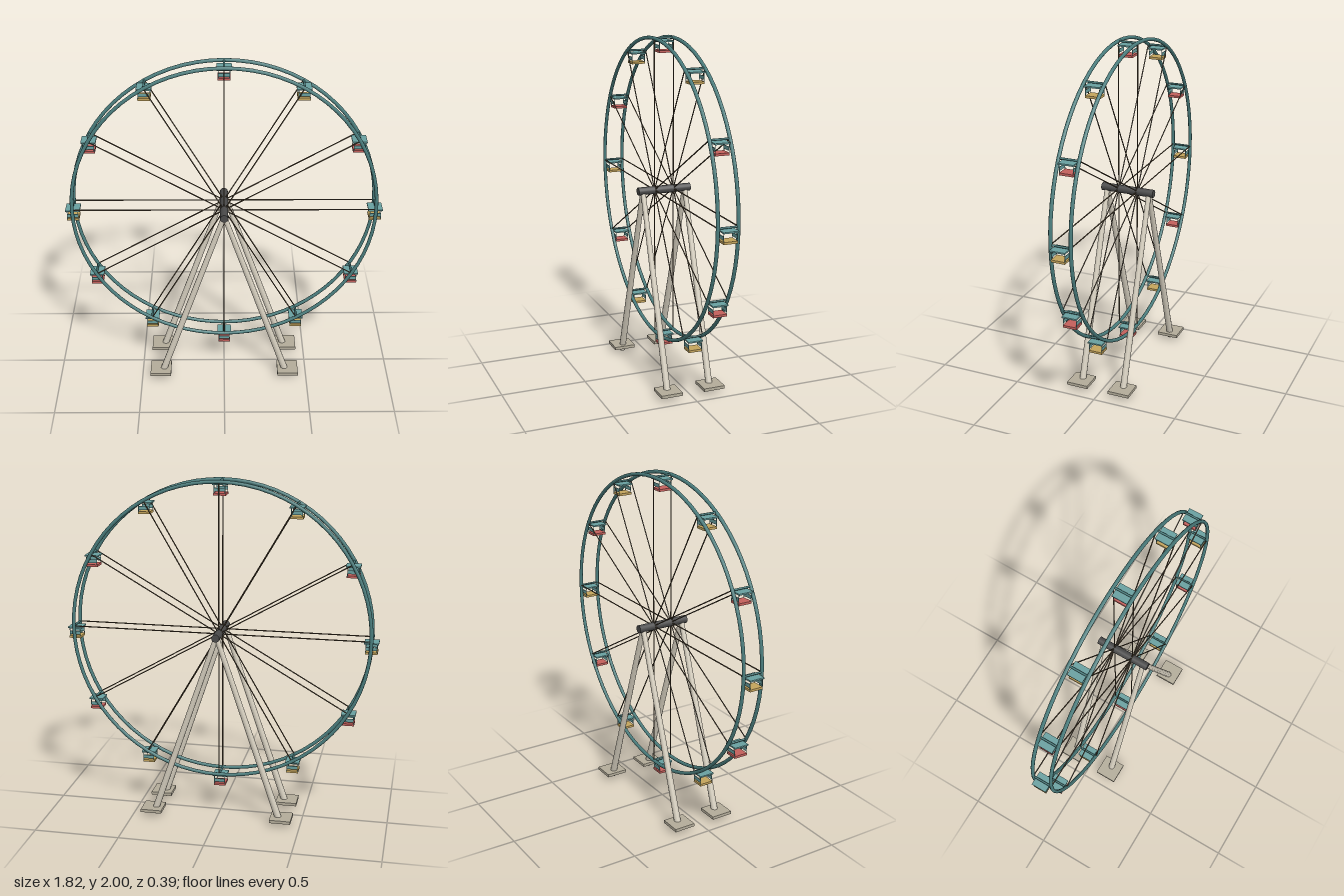
import * as THREE from 'three';

const HUB_Y = 1.12, RIM_R = 0.869, RIM_Z = 0.058, LEG_Z = 0.13, COUNT = 12;

const mat = (color) => new THREE.MeshStandardMaterial({ color });
const teal = mat(0x4a7d7d), paleTeal = mat(0x69a0a0), spokeBrown = mat(0x5a4c38);
const steel = mat(0x4a4a4a), cream = mat(0xd6cfbf), stone = mat(0xb3ac9a);
const red = mat(0xc4605c), tan = mat(0xc4a45c);

function add(parent, name, geometry, material, x = 0, y = 0, z = 0) {
  const mesh = new THREE.Mesh(geometry, material);
  mesh.name = name;
  mesh.position.set(x, y, z);
  parent.add(mesh);
  return mesh;
}

// Straight round bar between two points
function bar(parent, name, a, b, r0, r1, material, sides = 8) {
  const dir = b.clone().sub(a);
  const geo = new THREE.CylinderGeometry(r1, r0, dir.length(), sides);
  const mesh = add(parent, name, geo, material);
  mesh.position.copy(a).add(b).multiplyScalar(0.5);
  mesh.quaternion.setFromUnitVectors(new THREE.Vector3(0, 1, 0), dir.normalize());
  return mesh;
}

const v = (x, y, z) => new THREE.Vector3(x, y, z);

// Hanging cabin, origin at its pivot bar
function createCabin(floorMaterial) {
  const cabin = new THREE.Group();
  cabin.name = 'cabin';
  bar(cabin, 'pivotBar', v(0, 0, -RIM_Z), v(0, 0, RIM_Z), 0.006, 0.006, teal);
  add(cabin, 'roof', new THREE.BoxGeometry(0.083, 0.008, 0.088), paleTeal, 0, -0.016, 0);
  add(cabin, 'floor', new THREE.BoxGeometry(0.07, 0.013, 0.08), floorMaterial, 0, -0.0725, 0);
  for (const z of [-0.039, 0.039]) {
    add(cabin, 'sidePanel', new THREE.BoxGeometry(0.062, 0.02, 0.004), paleTeal, 0, -0.046, z);
    for (const x of [-0.031, 0.031])
      add(cabin, 'post', new THREE.CylinderGeometry(0.002, 0.002, 0.052, 6), paleTeal, x, -0.043, z);
  }
  return cabin;
}

export function createModel() {
  const model = new THREE.Group();
  model.name = 'ferrisWheel';

  // Wheel: two rims with spokes
  const wheel = new THREE.Group();
  wheel.name = 'wheel';
  wheel.position.y = HUB_Y;
  model.add(wheel);
  for (const z of [-RIM_Z, RIM_Z]) {
    add(wheel, 'rim', new THREE.TorusGeometry(RIM_R, 0.0105, 10, 72), teal, 0, 0, z);
    for (let i = 0; i < COUNT; i++) {
      const a = (i / COUNT) * Math.PI * 2;
      bar(wheel, 'spoke', v(0, 0, z), v(Math.cos(a) * RIM_R, Math.sin(a) * RIM_R, z),
        0.0035, 0.0035, spokeBrown, 6);
    }
  }

  // Cabins hang upright around the rim, alternating floor colours
  for (let i = 0; i < COUNT; i++) {
    const a = (i / COUNT) * Math.PI * 2;
    const cabin = createCabin(i % 2 ? red : tan);
    cabin.position.set(Math.sin(a + Math.PI / 2) * RIM_R, Math.sin(a) * RIM_R, 0);
    wheel.add(cabin);
  }

  // Axle
  bar(model, 'axle', v(0, HUB_Y, -0.16), v(0, HUB_Y, 0.16), 0.023, 0.023, steel, 16);

  // A-frame legs on foot plates
  for (const z of [-LEG_Z, LEG_Z]) {
    for (const s of [-1, 1]) {
      bar(model, 'leg', v(s * 0.38, 0.007, z), v(0, HUB_Y, z), 0.02, 0.015, cream, 10);
      add(model, 'footPlate', new THREE.BoxGeometry(0.125, 0.018, 0.128), stone, s * 0.387, 0.036, z);
    }
  }
  return model;
}
